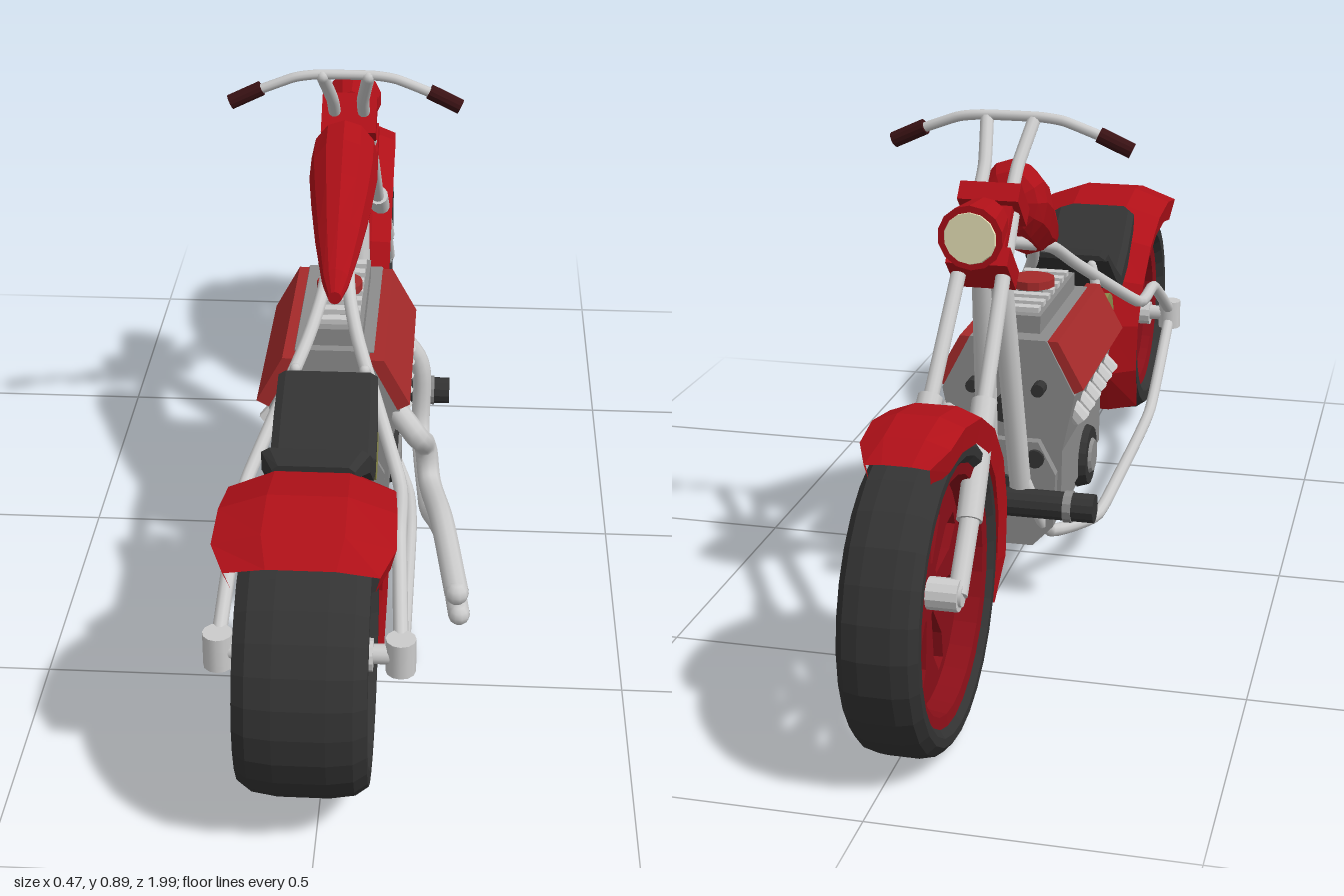
import * as THREE from 'three';

const mat = (color, flat = true) =>
  new THREE.MeshStandardMaterial({ color, flatShading: flat, side: THREE.DoubleSide });
const M = {
  red: mat(0xb01018), rim: mat(0x8a0f18), cover: mat(0xa52a2a), black: mat(0x333333),
  metal: mat(0xcccccc), chrome: mat(0xcccccc, false), engine: mat(0x8c8c8c),
  olive: mat(0x8a8a4a), lens: mat(0xe8e2b8), grip: mat(0x3a1214),
};
const V = (p) => new THREE.Vector3(...p);

export function createModel() {
  const model = new THREE.Group();
  const bike = new THREE.Group();
  bike.name = 'motorcycle';
  bike.position.x = -0.018;
  model.add(bike);

  const add = (name, geo, m, pos = [0, 0, 0], parent = bike) => {
    const mesh = new THREE.Mesh(geo, m);
    mesh.name = name;
    mesh.position.set(...pos);
    parent.add(mesh);
    return mesh;
  };
  const box = (name, size, pos, m) => add(name, new THREE.BoxGeometry(...size), m, pos);
  // Cylinder running from point a to point b
  const rod = (name, a, b, r, m = M.chrome, r2 = r, sides = 12) => {
    const A = V(a), B = V(b), d = B.clone().sub(A);
    const mesh = add(name, new THREE.CylinderGeometry(r2, r, d.length(), sides), m);
    mesh.position.copy(A.add(B).multiplyScalar(0.5));
    mesh.quaternion.setFromUnitVectors(V([0, 1, 0]), d.normalize());
    return mesh;
  };
  // Bent tube with tight corners
  const pipe = (name, pts, r, m = M.chrome, tension = 0.25) => {
    const curve = new THREE.CatmullRomCurve3(pts.map(V), false, 'catmullrom', tension);
    add(name, new THREE.TubeGeometry(curve, pts.length * 7, r, 10), m);
    for (const p of [pts[0], pts[pts.length - 1]]) add(name + 'End', new THREE.SphereGeometry(r, 10, 6), m, p);
  };
  // Surface through a list of equal-length cross-sections
  const loft = (name, rings, m, closed = true) => {
    const n = rings[0].length, idx = [];
    for (let i = 0; i < rings.length - 1; i++)
      for (let j = 0; j < (closed ? n : n - 1); j++) {
        const a = i * n + j, b = i * n + (j + 1) % n;
        idx.push(a, b, a + n, b, b + n, a + n);
      }
    if (closed) for (let j = 1; j < n - 1; j++) {
      const e = (rings.length - 1) * n;
      idx.push(0, j + 1, j, e, e + j, e + j + 1);
    }
    const g = new THREE.BufferGeometry();
    g.setAttribute('position', new THREE.Float32BufferAttribute(rings.flat(2), 3));
    g.setIndex(idx);
    g.computeVertexNormals();
    return add(name, g, m);
  };

  // Wheels: tyre, rim barrel and pierced spoke discs
  const wheel = (name, y, z, R, w, rimR, holes, discs) => {
    const g = new THREE.Group();
    g.name = name;
    g.position.set(0, y, z);
    bike.add(g);
    const lathe = (part, pts, m) => {
      const geo = new THREE.LatheGeometry(pts.map(([r, h]) => new THREE.Vector2(r, h)), 28);
      add(part, geo.rotateZ(Math.PI / 2), m, [0, 0, 0], g);
    };
    lathe('tyre', [[rimR, -w * 0.85], [rimR + 0.012, -w], [R - 0.02, -w], [R - 0.006, -w * 0.8], [R, -w * 0.4],
      [R, w * 0.4], [R - 0.006, w * 0.8], [R - 0.02, w], [rimR + 0.012, w], [rimR, w * 0.85]], M.black);
    lathe('rim', [[rimR, -w * 0.85], [rimR - 0.018, -w * 0.8], [rimR - 0.025, 0],
      [rimR - 0.018, w * 0.8], [rimR, w * 0.85]], M.rim);
    const shape = new THREE.Shape();
    shape.absarc(0, 0, rimR - 0.012, 0, Math.PI * 2);
    const [r1, r2, half] = holes;
    for (let i = 0; i < 8; i++) {
      const a = (i + 0.5) * Math.PI / 4, mid = r1 + (r2 - r1) * 0.65;
      const P = (r, d) => new THREE.Vector2(r * Math.cos(a + d), r * Math.sin(a + d));
      shape.holes.push(new THREE.Path([P(r1, -0.1), P(mid, -half), P(r2, -half * 0.4),
        P(r2, half * 0.4), P(mid, half), P(r1, 0.1)]));
    }
    for (const x of discs) {
      const geo = new THREE.ExtrudeGeometry(shape, { depth: 0.024, bevelEnabled: false, curveSegments: 14 });
      add('spokes', geo.translate(0, 0, -0.012).rotateY(Math.PI / 2), M.rim, [x, 0, 0], g);
    }
    add('hub', new THREE.CylinderGeometry(0.026, 0.026, w * 2, 12).rotateZ(Math.PI / 2), M.metal, [0, 0, 0], g);
  };
  wheel('rearWheel', 0.26, 0.78, 0.22, 0.1, 0.165, [0.035, 0.085, 0.22], [-0.05, 0.05]);
  wheel('frontWheel', 0.251, -0.74, 0.251, 0.062, 0.205, [0.045, 0.165, 0.21], [0]);

  // Fenders: arched shells around the wheel centres, [angle in degrees, half width]
  const fender = (name, y, z, rOut, rEdge, rIn, stations) => loft(name, stations.map(([deg, w, k = 1]) => {
    const a = deg * Math.PI / 180;
    return [[-0.93 * w, rIn], [-w, rEdge], [-0.45 * w, rOut * k], [0.45 * w, rOut * k], [w, rEdge], [0.93 * w, rIn]]
      .map(([x, r]) => [x, y + r * Math.cos(a), z + r * Math.sin(a)]);
  }), M.red, false);
  fender('rearFender', 0.26, 0.78, 0.285, 0.258, 0.212,
    [[29, 0.115, 0.96], [18, 0.137], [0, 0.135], [-20, 0.13], [-40, 0.125], [-60, 0.12], [-80, 0.115], [-102, 0.112], [-125, 0.108, 0.96]]);
  fender('frontFender', 0.251, -0.74, 0.29, 0.275, 0.235,
    [[-25, 0.05, 0.96], [-15, 0.07], [0, 0.073], [20, 0.074], [40, 0.074], [60, 0.073], [80, 0.071], [100, 0.068], [117, 0.055, 0.93]]);

  // Teardrop fuel tank: [z, bottom, top, half width]
  const tank = [[0.168, 0.566, 0.59, 0.012], [0.14, 0.572, 0.622, 0.025], [0.06, 0.585, 0.685, 0.042], [-0.02, 0.6, 0.74, 0.055],
    [-0.08, 0.625, 0.782, 0.063], [-0.125, 0.65, 0.802, 0.062], [-0.152, 0.675, 0.785, 0.05], [-0.165, 0.705, 0.76, 0.028]];
  loft('fuelTank', tank.map(([z, b, t, w]) => Array.from({ length: 12 }, (_, i) => {
    const a = i * Math.PI / 6;
    return [w * Math.cos(a), (b + t) / 2 + (t - b) / 2 * Math.sin(a), z];
  })), M.red);

  // Dipped seat: [z, top, half width, thickness]
  loft('seat', [[0.67, 0.53, 0.065, 0.02], [0.62, 0.533, 0.086, 0.04], [0.54, 0.475, 0.088, 0.045], [0.47, 0.437, 0.088, 0.035],
    [0.4, 0.475, 0.088, 0.03], [0.335, 0.52, 0.085, 0.022], [0.325, 0.51, 0.08, 0.01]].map(([z, y, w, t]) =>
    [[-w, y - t, z], [-w, y - 0.008, z], [-w * 0.85, y, z], [w * 0.85, y, z], [w, y - 0.008, z], [w, y - t, z]]), M.black);

  // Engine block: outline in x and y, run along z
  const prism = (name, pts, z0, z1, m) => {
    const s = new THREE.Shape(pts.map((p) => new THREE.Vector2(...p)));
    return add(name, new THREE.ExtrudeGeometry(s, { depth: z1 - z0, bevelEnabled: false }), m, [0, 0, z0]);
  };
  const both = (half) => [...half, ...half.map(([x, y]) => [-x, y]).reverse()];
  prism('engineBlock', both([[0.06, 0.115], [0.098, 0.17], [0.1, 0.28], [0.122, 0.385], [0.07, 0.485]]), -0.17, 0.19, M.engine);
  prism('crankcase', both([[0.05, 0.1], [0.088, 0.14], [0.092, 0.24], [0.06, 0.3]]), -0.19, 0.2, M.engine);
  box('intakePlate', [0.1, 0.035, 0.3], [0, 0.5, 0.02], M.engine);
  for (let i = 0; i < 7; i++) box('intakeRib', [0.085, 0.012, 0.02], [0, 0.521, -0.1 + i * 0.04], M.metal);
  rod('airIntake', [0, 0.515, 0.025], [0, 0.535, 0.025], 0.028, M.engine);
  rod('intakeCap', [0, 0.53, 0.025], [0, 0.545, 0.025], 0.042, M.cover);

  // Gearbox steps and oil tank behind the engine
  box('gearbox', [0.14, 0.13, 0.1], [0, 0.29, 0.23], M.engine);
  box('gearboxTail', [0.11, 0.08, 0.11], [0, 0.28, 0.33], M.engine);
  for (let i = 0; i < 5; i++) box('gearboxRib', [0.125, 0.085, 0.009], [0, 0.28, 0.29 + i * 0.021], M.metal);
  rod('oilTank', [-0.085, 0.375, 0.35], [0.085, 0.375, 0.35], 0.05, M.olive, 0.05, 16);
  rod('oilTankNeck', [0, 0.36, 0.31], [0, 0.35, 0.22], 0.025, M.metal);

  // Front pulleys and cross cylinder
  for (const [x, y, r] of [[0, 0.2, 0.035], [-0.055, 0.27, 0.017], [0.055, 0.27, 0.017], [0, 0.36, 0.024], [-0.06, 0.4, 0.012], [0.06, 0.4, 0.012]])
    rod('pulley', [x, y, -0.16], [x, y, -0.198], r, M.black);
  rod('crossCylinder', [-0.17, 0.193, -0.215], [0.205, 0.193, -0.215], 0.026, M.black);
  for (const x of [-0.13, 0.16]) rod('cylinderBand', [x, 0.193, -0.215], [x + 0.015, 0.193, -0.215], 0.029, M.engine);

  // Parts mirrored left and right
  for (const s of [-1, 1]) {
    const at = (x, y, z) => [s * x, y, z];
    prism('valveCover', [[0.115, 0.385], [0.137, 0.397], [0.09, 0.483], [0.064, 0.483]].map(([x, y]) => [s * x, y]), -0.165, 0.22, M.cover);
    for (let i = 0; i < 6; i++) {
      const z = -0.125 + i * 0.056;
      rod('exhaustPort', at(0.09, 0.37, z), at(0.125, 0.325, z + 0.008), 0.015, M.metal, 0.018, 8);
    }
    rod('crankCover', at(0.09, 0.195, 0.04), at(0.112, 0.195, 0.04), 0.062, M.black, 0.055, 16);
    rod('crankCap', at(0.11, 0.195, 0.04), at(0.118, 0.195, 0.04), 0.036, M.engine, 0.03);
    pipe('upperFrame', [at(0.143, 0.27, 0.78), at(0.133, 0.372, 0.61), at(0.128, 0.38, 0.46),
      at(0.045, 0.52, 0.22), at(0.02, 0.585, 0.1), at(0.012, 0.69, -0.27)], 0.012);
    pipe('lowerFrame', [at(0.143, 0.255, 0.78), at(0.14, 0.11, 0.55), at(0.14, 0.1, 0.16),
      at(0.13, 0.088, 0), at(0.075, 0.125, -0.17), at(0.035, 0.24, -0.205)], 0.012);
    rod('downTube', at(0.03, 0.22, -0.2), at(0.014, 0.69, -0.295), 0.02);
    pipe('seatStrut', [at(0.06, 0.5, 0.29), at(0.07, 0.46, 0.28), at(0.07, 0.36, 0.24)], 0.01);
    rod('axleBracket', at(0.143, 0.232, 0.78), at(0.143, 0.292, 0.78), 0.024);
    rod('axle', at(0.09, 0.262, 0.78), at(0.15, 0.262, 0.78), 0.016);
    // Front fork, risers and grips
    rod('forkTube', at(0.034, 0.76, -0.262), at(0.046, 0.46, -0.54), 0.013);
    rod('forkLeg', at(0.045, 0.49, -0.515), at(0.055, 0.34, -0.655), 0.021);
    rod('forkFoot', at(0.055, 0.35, -0.645), at(0.058, 0.251, -0.74), 0.016);
    pipe('handlebarRiser', [at(0.028, 0.76, -0.27), at(0.029, 0.81, -0.215), at(0.042, 0.878, -0.145)], 0.012);
    rod('grip', at(0.155, 0.855, -0.142), at(0.213, 0.828, -0.138), 0.014, M.grip);
  }
  rod('frontAxle', [-0.067, 0.251, -0.74], [0.067, 0.251, -0.74], 0.018);
  pipe('handlebar', [[-0.17, 0.848, -0.141], [-0.095, 0.876, -0.145], [-0.05, 0.882, -0.147],
    [0.05, 0.882, -0.147], [0.095, 0.876, -0.145], [0.17, 0.848, -0.141]], 0.009);

  // Steering head: two red clamps joined by a neck
  for (const [y, z] of [[0.755, -0.27], [0.665, -0.348]])
    box('forkClamp', [0.105, 0.035, 0.085], [0, y, z], M.red).rotation.x = 0.75;
  box('steeringHead', [0.08, 0.13, 0.06], [0, 0.71, -0.308], M.red).rotation.x = 0.75;

  // Headlight
  rod('headlight', [0, 0.74, -0.335], [0, 0.735, -0.428], 0.042, M.red, 0.055, 14);
  rod('headlightLens', [0, 0.735, -0.42], [0, 0.735, -0.432], 0.047, M.lens, 0.043, 14);
  rod('headlightMount', [0, 0.715, -0.3], [0, 0.735, -0.35], 0.022, M.red);

  // Twin exhaust on the left side
  pipe('upperExhaust', [[0.11, 0.36, 0.17], [0.15, 0.315, 0.19], [0.165, 0.265, 0.14], [0.175, 0.205, 0.17],
    [0.2, 0.21, 0.31], [0.228, 0.19, 0.5]], 0.021, M.chrome, 0.5);
  pipe('lowerExhaust', [[0.11, 0.34, -0.16], [0.148, 0.27, -0.165], [0.15, 0.14, -0.14], [0.165, 0.092, 0],
    [0.175, 0.105, 0.1], [0.205, 0.16, 0.28], [0.233, 0.147, 0.5]], 0.019, M.chrome, 0.5);
  return model;
}
